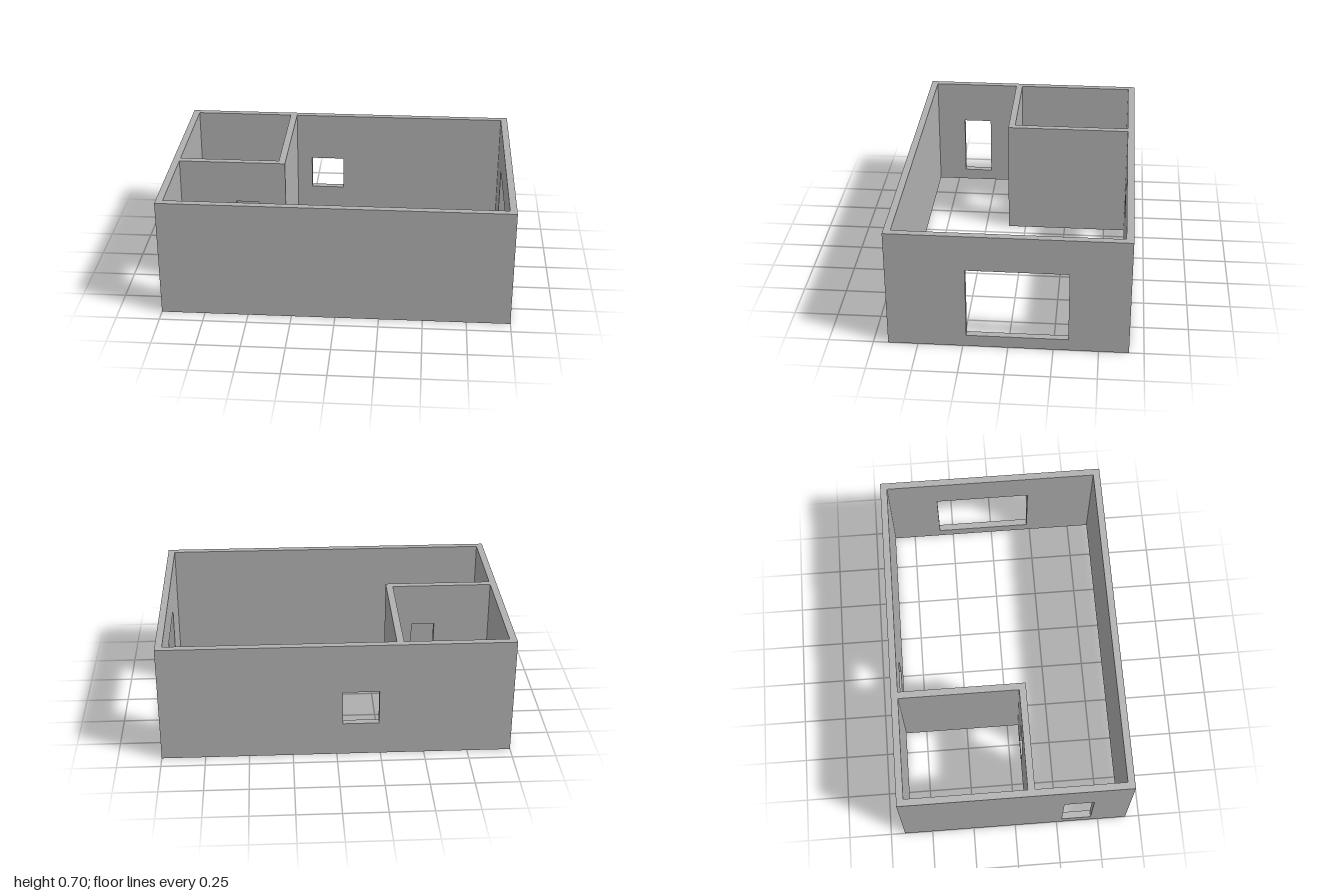
import * as THREE from 'three';

const HEIGHT = 0.7, THICK = 0.04;
const X = 1, Z = 0.667; // outer half sizes of the house

// Upright wall from u0 to u1 with rectangular openings [u0, u1, y0, y1]
function wallGeometry(u0, u1, openings) {
  const rect = (path, a, b, c, d) =>
    path.moveTo(a, c).lineTo(b, c).lineTo(b, d).lineTo(a, d).lineTo(a, c);
  const shape = rect(new THREE.Shape(), u0, u1, 0, HEIGHT);
  for (const o of openings) shape.holes.push(rect(new THREE.Path(), ...o));
  return new THREE.ExtrudeGeometry(shape, { depth: THICK, bevelEnabled: false });
}

export function createModel() {
  const house = new THREE.Group();
  house.name = 'floorPlanHouse';
  const plaster = new THREE.MeshStandardMaterial({ color: 0xb0b0b0 });
  plaster.name = 'greyPlaster';

  // Wall running along x, occupying z .. z + THICK
  function wallAlongX(name, z, x0, x1, openings = []) {
    const wall = new THREE.Mesh(wallGeometry(x0, x1, openings), plaster);
    wall.name = name;
    wall.position.z = z;
    house.add(wall);
  }

  // Wall running along z, occupying x .. x + THICK
  function wallAlongZ(name, x, z0, z1, openings = []) {
    const wall = new THREE.Mesh(wallGeometry(z0, z1, openings), plaster);
    wall.name = name;
    wall.rotation.y = -Math.PI / 2;
    wall.position.x = x + THICK;
    house.add(wall);
  }

  // Outer walls
  const inner = Z - THICK;
  wallAlongX('frontWall', inner, -X, X);
  wallAlongX('backWall', -Z, -X, X, [[-0.24, -0.035, 0.2, 0.405]]);
  wallAlongZ('leftWall', X - THICK, -inner, inner, [[-0.333, 0.23, 0.07, 0.49]]);
  wallAlongZ('rightWall', -X, -inner, inner, [[0.28, 0.453, 0.07, 0.44]]);

  // Partitions enclosing the small back room
  wallAlongX('roomFrontPartition', 0.067, -X + THICK, -0.333, [[-0.63, -0.493, 0.07, 0.445]]);
  wallAlongZ('roomSidePartition', -0.373, -inner, 0.067);

  return house;
}
